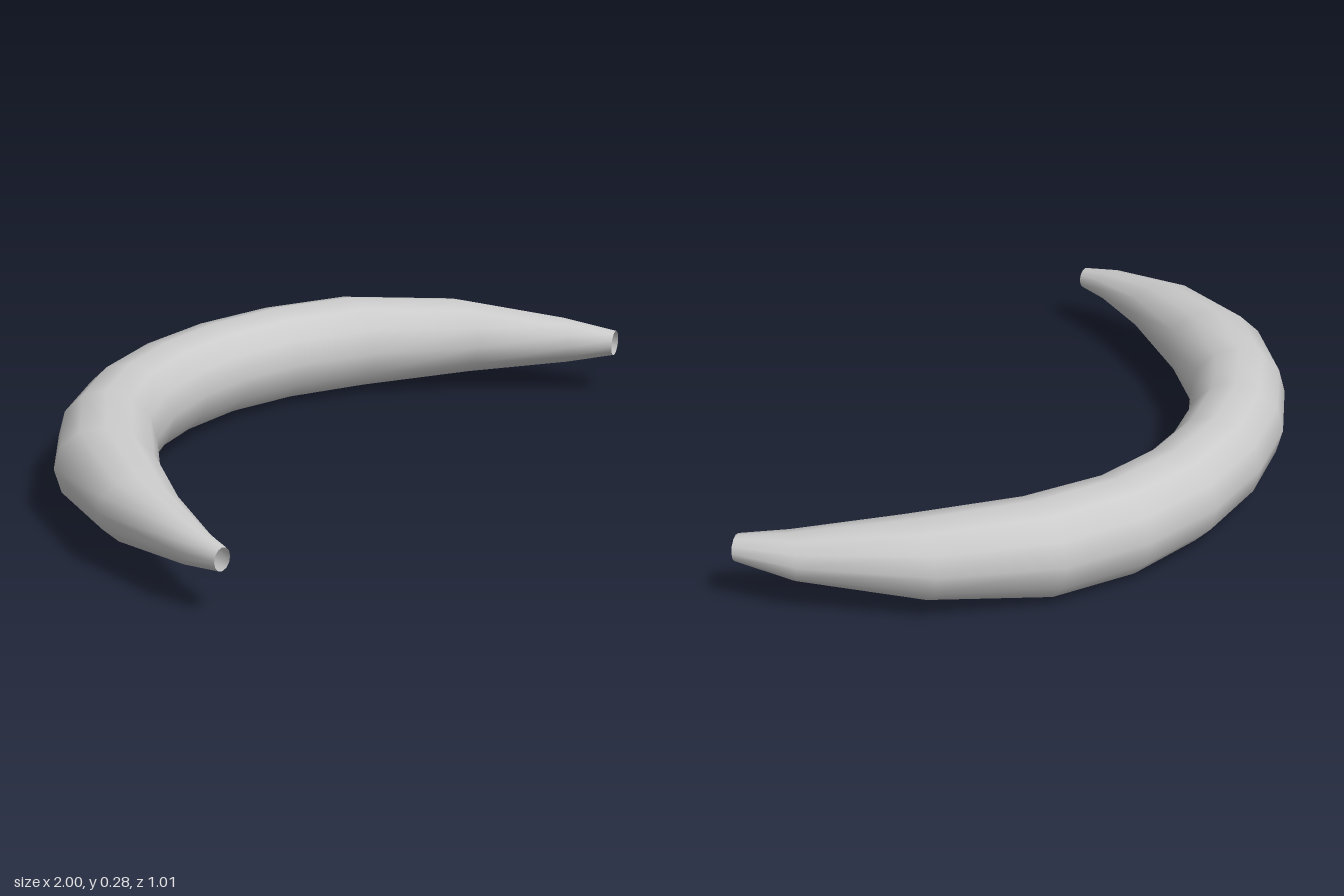
import * as THREE from 'three';

const SIDES = 12;

// Stations along the bend: outer x, z, inner x, z, bottom y, top y
const STATIONS = [
  [-1.0, 0.49, -0.945, 0.497, 0.125, 0.187],
  [-1.0, 0.37, -0.91, 0.42, 0.11, 0.207],
  [-0.925, 0.07, -0.8, 0.25, 0.07, 0.247],
  [-0.745, -0.215, -0.62, 0.04, 0.025, 0.277],
  [-0.53, -0.375, -0.41, -0.135, 0.012, 0.28],
  [-0.3, -0.47, -0.23, -0.21, 0.01, 0.278],
  [-0.06, -0.507, -0.04, -0.24, 0.007, 0.275],
  [0.19, -0.493, 0.14, -0.23, 0.004, 0.273],
  [0.43, -0.42, 0.33, -0.175, 0, 0.273],
  [0.65, -0.29, 0.52, -0.05, 0.005, 0.274],
  [0.86, -0.03, 0.72, 0.18, 0.04, 0.257],
  [0.98, 0.31, 0.87, 0.4, 0.085, 0.215],
  [1.0, 0.49, 0.93, 0.505, 0.12, 0.193],
];

// Skins elliptical cross-sections into a smooth tube with open ends
function loft(stations) {
  const positions = [];
  const indices = [];
  stations.forEach(([ox, oz, ix, iz, low, high], i) => {
    for (let j = 0; j < SIDES; j++) {
      const angle = (j / SIDES) * Math.PI * 2;
      const c = Math.cos(angle) / 2;
      const s = Math.sin(angle) / 2;
      positions.push(
        (ox + ix) / 2 + (ox - ix) * c,
        (low + high) / 2 + (high - low) * s,
        (oz + iz) / 2 + (oz - iz) * c
      );
      if (i === stations.length - 1) continue;
      const a = i * SIDES + j;
      const b = i * SIDES + ((j + 1) % SIDES);
      indices.push(a, b, a + SIDES, b, b + SIDES, a + SIDES);
    }
  });
  const geometry = new THREE.BufferGeometry();
  geometry.setAttribute('position', new THREE.Float32BufferAttribute(positions, 3));
  geometry.setIndex(indices);
  geometry.computeVertexNormals();
  return geometry;
}

export function createModel() {
  const group = new THREE.Group();
  group.name = 'curvedTube';

  // Tapered crescent body, hollow at both tips
  const material = new THREE.MeshStandardMaterial({ color: 0xcccccc, side: THREE.DoubleSide });
  const body = new THREE.Mesh(loft(STATIONS), material);
  body.name = 'crescentBody';
  group.add(body);

  return group;
}
